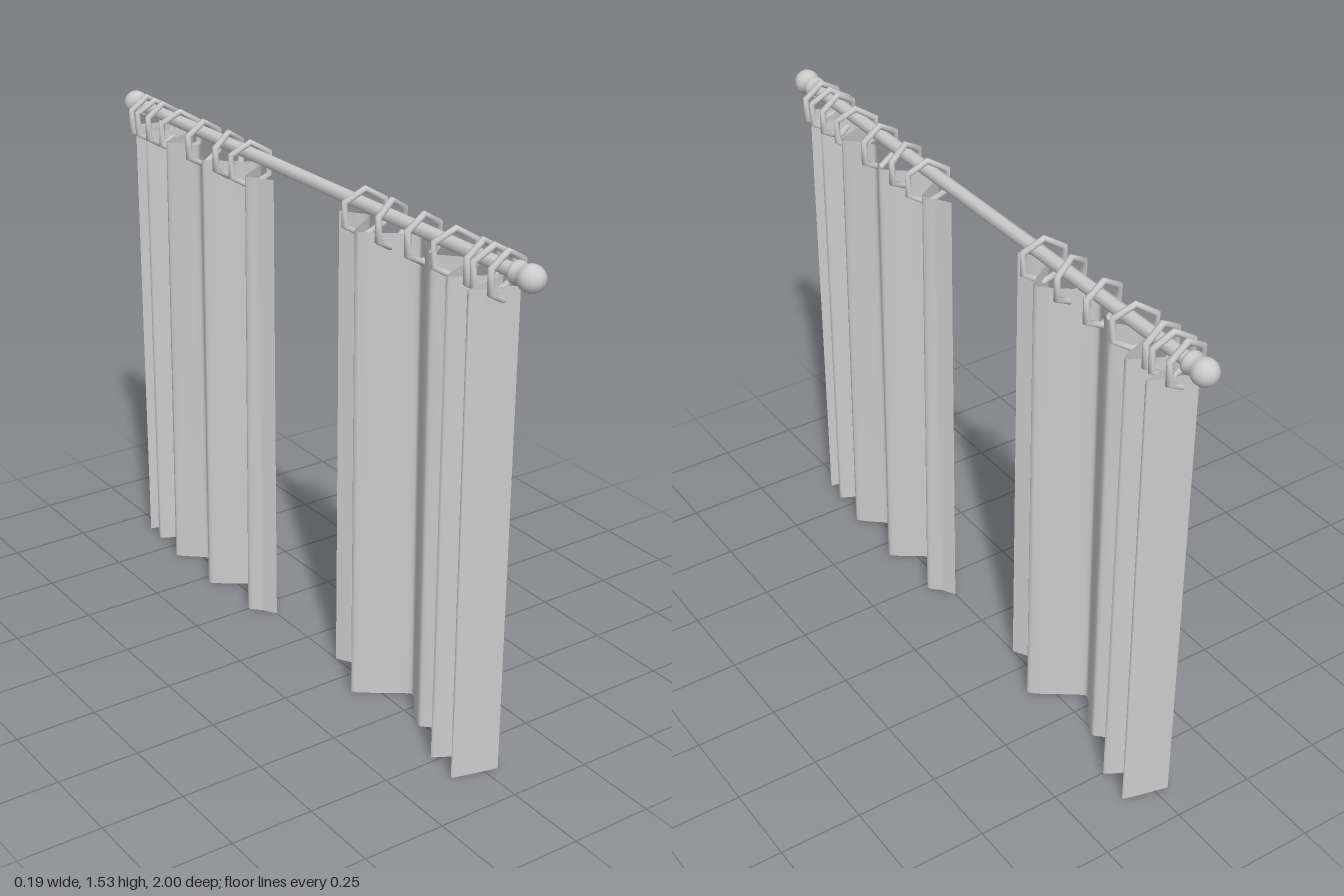
import * as THREE from 'three';

const material = new THREE.MeshStandardMaterial({ color: 0xcccccc });
const cloth = new THREE.MeshStandardMaterial({ color: 0xcccccc, side: THREE.DoubleSide });

const ROD_Y = 1.482;
const CLOTH_TOP = 1.432;

// fold lines as [x, z], at the top edge and at the hem
const TOP = [[0.0, 0.153], [0.025, 0.195], [0.045, 0.235], [-0.065, 0.32], [0.062, 0.435], [0.02, 0.51],
  [-0.005, 0.575], [0.058, 0.66], [-0.078, 0.728], [0.05, 0.80], [-0.095, 0.835], [0.04, 0.878]];
const HEM = [[0.0, 0.153], [0.025, 0.195], [0.055, 0.235], [-0.068, 0.33], [0.07, 0.44], [0.02, 0.52],
  [-0.012, 0.59], [0.065, 0.668], [-0.08, 0.73], [0.05, 0.805], [-0.095, 0.84], [0.04, 0.878]];

// rings as [z, slant]: slant is the z difference across the ring
const RINGS = [[0.258, 0.035], [0.378, -0.035], [0.518, -0.015], [0.652, 0.045],
  [0.76, -0.02], [0.805, 0.018], [0.858, -0.014]];

function foldCurve(points) {
  return new THREE.CatmullRomCurve3(
    points.map(([x, z]) => new THREE.Vector3(x, 0, z)), false, 'catmullrom', 0.25);
}

// pleated sheet: a plane whose columns follow the fold curves
function clothGeometry() {
  const geometry = new THREE.PlaneGeometry(1, 1, 88, 8);
  const pos = geometry.attributes.position;
  const top = foldCurve(TOP), hem = foldCurve(HEM);
  const a = new THREE.Vector3(), b = new THREE.Vector3();
  for (let i = 0; i < pos.count; i++) {
    const u = pos.getX(i) + 0.5, v = pos.getY(i) + 0.5;
    hem.getPoint(u, a).lerp(top.getPoint(u, b), v);
    pos.setXYZ(i, a.x, v * CLOTH_TOP, a.z);
  }
  geometry.computeVertexNormals();
  return geometry;
}

// one curtain with its rings
function createCurtain() {
  const curtain = new THREE.Group();
  const sheet = new THREE.Mesh(clothGeometry(), cloth);
  sheet.name = 'curtainCloth';
  curtain.add(sheet);

  const ringGeometry = new THREE.TorusGeometry(0.066, 0.01, 8, 6).rotateZ(Math.PI / 6);
  for (const [z, slant] of RINGS) {
    const ring = new THREE.Mesh(ringGeometry, material);
    ring.name = 'curtainRing';
    ring.position.set(0.011, 1.454, z);
    ring.rotation.y = -Math.atan2(slant, 0.115);
    curtain.add(ring);
  }
  return curtain;
}

// collar, neck and ball, turned around the rod axis
function finialGeometry() {
  const profile = [[0, 0.9], [0.024, 0.9], [0.032, 0.906], [0.033, 0.915], [0.029, 0.928]];
  const ballZ = 0.962, r = 0.038;
  for (let i = 0; i <= 8; i++) {
    const t = THREE.MathUtils.lerp(-0.65, Math.PI / 2, i / 8);
    profile.push([Math.max(0, r * Math.cos(t)), ballZ + r * Math.sin(t)]);
  }
  return new THREE.LatheGeometry(profile.map(([x, y]) => new THREE.Vector2(x, y)), 20)
    .rotateX(Math.PI / 2);
}

export function createModel() {
  const model = new THREE.Group();
  model.name = 'curtains';

  const rod = new THREE.Mesh(
    new THREE.CylinderGeometry(0.02, 0.02, 1.81, 8).rotateX(Math.PI / 2), material);
  rod.name = 'rod';
  rod.position.y = ROD_Y;
  model.add(rod);

  const finial = finialGeometry();
  for (const end of [0, 1]) {
    const knob = new THREE.Mesh(finial, material);
    knob.name = end ? 'backFinial' : 'frontFinial';
    knob.position.y = ROD_Y;
    knob.rotation.y = end * Math.PI;
    model.add(knob);

    // the back curtain is the front one turned half way round
    const curtain = createCurtain();
    curtain.name = end ? 'backCurtain' : 'frontCurtain';
    curtain.rotation.y = end * Math.PI;
    curtain.position.z = end * -0.021;
    model.add(curtain);
  }
  return model;
}
